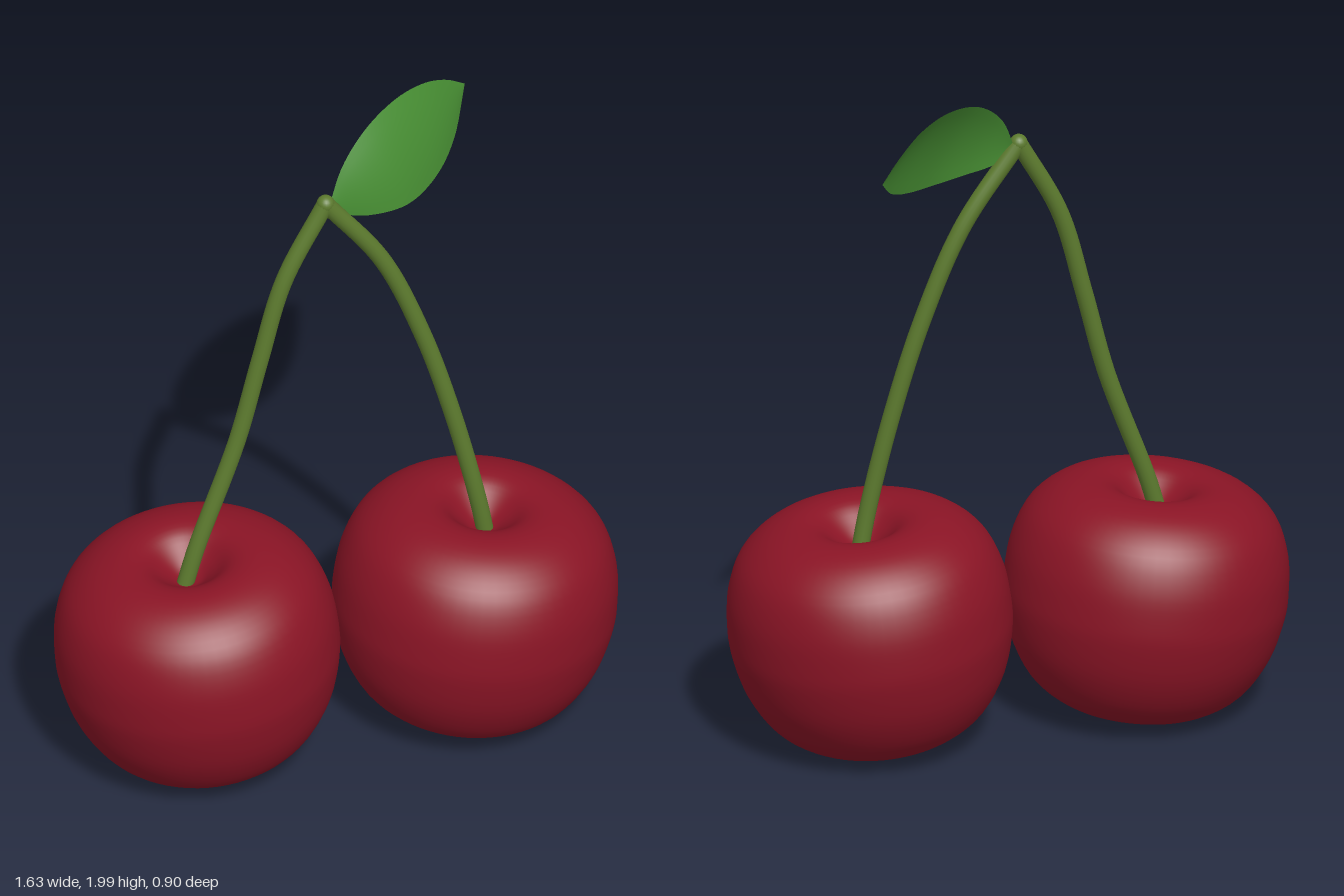
import * as THREE from 'three';

const V = (x, y, z) => new THREE.Vector3(x, y, z);
const material = (color, side = THREE.FrontSide) => new THREE.MeshStandardMaterial({ color, side, roughness: 0.7 });

function named(name, geometry, mat) {
  const mesh = new THREE.Mesh(geometry, mat);
  mesh.name = name;
  return mesh;
}

// Fruit profile from the bottom dimple to the top dimple
function fruitGeometry() {
  const outline = [
    [0, -0.27], [0.06, -0.285], [0.11, -0.318], [0.17, -0.332], [0.24, -0.31], [0.315, -0.25],
    [0.372, -0.15], [0.4, -0.04], [0.404, 0.04], [0.393, 0.14], [0.355, 0.235],
    [0.285, 0.3], [0.2, 0.33], [0.13, 0.322], [0.075, 0.28], [0.035, 0.25], [0, 0.245],
  ].map(([r, y]) => new THREE.Vector2(r, y));
  const points = new THREE.SplineCurve(outline).getPoints(64);
  points.forEach((p) => { p.x = Math.max(0, p.x); });
  points[0].x = points[64].x = 0;
  return new THREE.LatheGeometry(points, 64);
}

// Leaf surface lofted between its lower and upper edges, bowed slightly forward
function leafGeometry() {
  const base = V(0, 1.79, -0.05), tip = V(0.535, 1.88, -0.325);
  const lower = new THREE.CatmullRomCurve3([
    base, V(0.06, 1.748, -0.04), V(0.15, 1.73, -0.036), V(0.25, 1.725, -0.055),
    V(0.36, 1.745, -0.12), V(0.45, 1.79, -0.205), tip]);
  const upper = new THREE.CatmullRomCurve3([
    base, V(0.05, 1.895, -0.075), V(0.14, 1.97, -0.12), V(0.26, 2.0, -0.183),
    V(0.37, 1.985, -0.24), V(0.46, 1.94, -0.288), tip]);
  const along = 32, across = 8;
  const geometry = new THREE.PlaneGeometry(1, 1, along, across);
  const position = geometry.attributes.position;
  for (let j = 0; j <= across; j++) {
    for (let i = 0; i <= along; i++) {
      const u = i / along, v = j / across;
      const p = upper.getPointAt(u).lerp(lower.getPointAt(u), v);
      const bow = 0.06 * Math.sin(Math.PI * u) * v * (1 - v);
      position.setXYZ(j * (along + 1) + i, p.x + bow * 0.4, p.y + bow * 0.4, p.z + bow);
    }
  }
  geometry.computeVertexNormals();
  return geometry;
}

export function createModel() {
  const group = new THREE.Group();
  const red = material(0x8a1425);
  const green = material(0x5c7a2e);
  const joint = V(-0.013, 1.805, -0.046);

  // Two fruits leaning away from each other
  const fruit = fruitGeometry();
  for (const [name, side, z] of [['rightCherry', -1, -0.048], ['leftCherry', 1, 0.045]]) {
    const cherry = named(name, fruit, red);
    cherry.position.set(0.405 * side, 0.358, z);
    cherry.rotation.z = -0.1 * side;
    group.add(cherry);
  }

  // Stems meeting at the top
  const stems = {
    rightStem: [joint, V(-0.14, 1.57, -0.048), V(-0.215, 1.31, -0.048), V(-0.285, 1.05, -0.048),
      V(-0.41, 0.71, -0.048), V(-0.447, 0.585, -0.048)],
    leftStem: [joint, V(0.155, 1.57, -0.032), V(0.27, 1.29, -0.008), V(0.355, 0.99, 0.02),
      V(0.417, 0.71, 0.042), V(0.44, 0.585, 0.045)],
  };
  for (const [name, path] of Object.entries(stems)) {
    group.add(named(name, new THREE.TubeGeometry(new THREE.CatmullRomCurve3(path), 48, 0.025, 16), green));
  }
  const cap = named('stemJoint', new THREE.SphereGeometry(0.026, 20, 14), green);
  cap.position.copy(joint);
  group.add(cap);

  // Single leaf
  group.add(named('leaf', leafGeometry(), material(0x468c32, THREE.DoubleSide)));
  return group;
}
